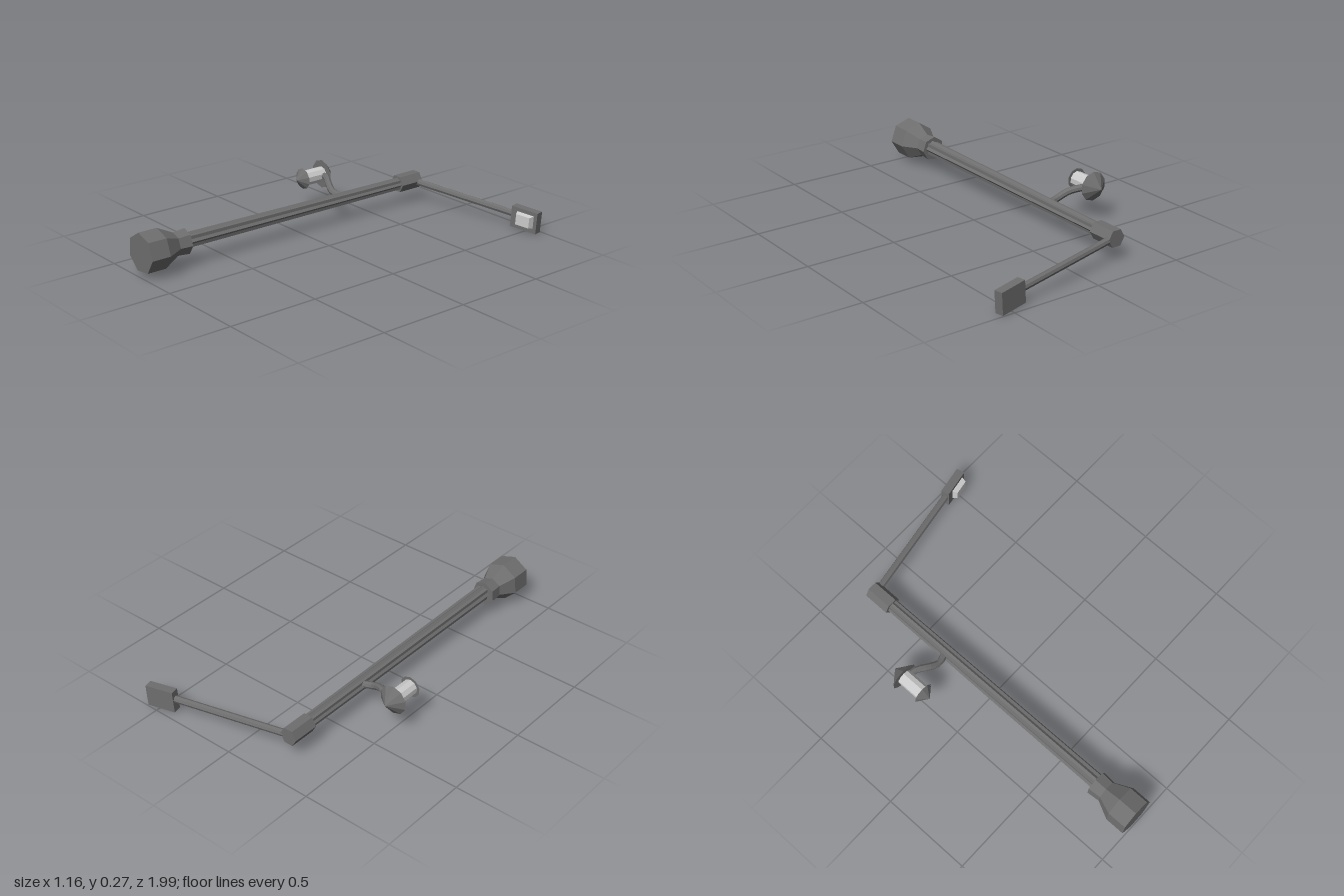
import * as THREE from 'three';

const metal = new THREE.MeshStandardMaterial({ color: 0x6e6e6e, flatShading: true });
const glass = new THREE.MeshStandardMaterial({ color: 0xcccccc, flatShading: true });

function part(name, geometry, material = metal) {
  const mesh = new THREE.Mesh(geometry, material);
  mesh.name = name;
  return mesh;
}

// Faceted solid turned about the z axis; profile is [radius, z] with rising z
function turned(profile, sides, spin = 0) {
  const points = profile.map(([r, z]) => new THREE.Vector2(r, z));
  return new THREE.LatheGeometry(points, sides).rotateX(Math.PI / 2).rotateZ(spin);
}

// Tapered post with ribs: every other column of vertices is pulled inward
function flutedPole(rBack, rFront, z0, z1, ribs) {
  const geo = turned([[0, z0], [rBack, z0], [rFront, z1], [0, z1]], ribs * 2);
  const pos = geo.attributes.position;
  for (let i = 0; i < pos.count; i++) {
    const column = Math.floor(i / 4); // four profile points per column
    if (column % 2) pos.setXY(i, pos.getX(i) * 0.8, pos.getY(i) * 0.8);
  }
  return geo;
}

export function createModel() {
  const model = new THREE.Group();
  model.name = 'streetLamp';

  // Post lying along z: seven-sided base, ribbed pole, hexagonal cap
  const base = part('base', turned(
    [[0, 0.73], [0.068, 0.73], [0.062, 0.8], [0.107, 0.89], [0.107, 0.997], [0, 0.997]], 7, 0.57));
  base.position.set(-0.25, 0.133, 0);
  const pole = part('pole', flutedPole(0.036, 0.043, -0.75, 0.76, 8));
  pole.position.set(-0.245, 0.132, 0);
  pole.rotation.x = -0.008;
  const cap = part('cap', turned(
    [[0, -0.84], [0.05, -0.84], [0.05, -0.695], [0, -0.695]], 6, Math.PI / 6));
  cap.position.set(-0.248, 0.126, 0);
  model.add(base, pole, cap);

  // Long arm to the flood light
  const armPath = new THREE.LineCurve3(
    new THREE.Vector3(-0.24, 0.12, -0.816), new THREE.Vector3(0.44, 0.08, -0.945));
  model.add(part('arm', new THREE.TubeGeometry(armPath, 1, 0.019, 8)));

  // Flood light: box housing with a bevelled lens on its front
  const flood = new THREE.Group();
  flood.name = 'floodLight';
  flood.position.set(0.493, 0.067, -0.957);
  flood.rotation.set(0, 0.2, -0.07);
  const housing = part('housing', new THREE.BoxGeometry(0.16, 0.118, 0.046));
  const lensGeo = new THREE.BoxGeometry(0.11, 0.074, 0.036);
  const lp = lensGeo.attributes.position;
  for (let i = 0; i < lp.count; i++) {
    if (lp.getZ(i) > 0) lp.setXY(i, lp.getX(i) * 0.75, lp.getY(i) * 0.8);
  }
  const lens = part('lens', lensGeo, glass);
  lens.position.set(0.008, 0.003, 0.033);
  flood.add(housing, lens);
  model.add(flood);

  // Curved bracket to the lantern
  const bracketPath = new THREE.CatmullRomCurve3([
    [-0.25, 0.135, -0.31], [-0.32, 0.145, -0.292], [-0.38, 0.175, -0.31],
    [-0.435, 0.19, -0.34], [-0.49, 0.19, -0.35],
  ].map((p) => new THREE.Vector3(...p)));
  model.add(part('bracket', new THREE.TubeGeometry(bracketPath, 10, 0.019, 8)));

  // Lantern: conical roof, glass body, conical foot
  const lantern = new THREE.Group();
  lantern.name = 'lantern';
  lantern.position.set(-0.503, 0.19, 0);
  lantern.add(
    part('roof', turned([[0, -0.425], [0.08, -0.36], [0, -0.36]], 10)),
    part('lanternGlass', turned([[0.043, -0.365], [0.043, -0.22]], 10), glass),
    part('foot', turned([[0, -0.227], [0.059, -0.227], [0, -0.18]], 10)));
  model.add(lantern);

  return model;
}
